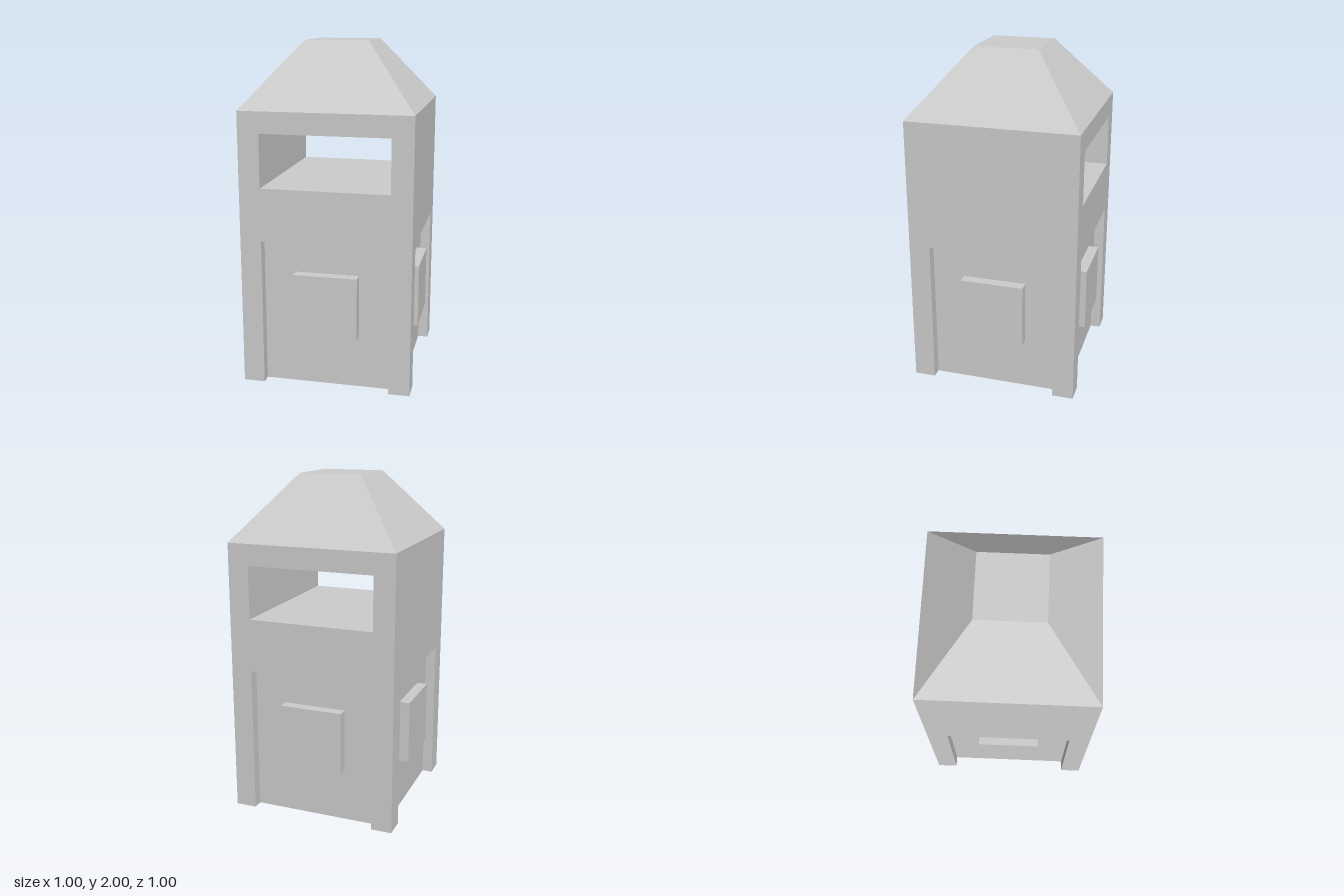
import * as THREE from 'three';

const U = 1 / 16; // modelling grid
const HALF = 8 * U; // half width of the body
const OPEN = 6 * U; // half width of window and recesses
const INNER = 7 * U; // half width of the recessed core
const BASE_H = 14 * U;
const BODY_H = 26 * U;
const ROOF_H = 6 * U;

export function createModel() {
  const group = new THREE.Group();
  const material = new THREE.MeshStandardMaterial({ color: 0xcccccc, flatShading: true });
  const add = (name, geometry) => {
    const mesh = new THREE.Mesh(geometry, material);
    mesh.name = name;
    group.add(mesh);
    return mesh;
  };

  // Base: square plan with a shallow recess in each side, leaving corner posts
  const plan = [];
  for (let i = 0; i < 4; i++) {
    const side = [[-OPEN, HALF], [-OPEN, INNER], [OPEN, INNER], [OPEN, HALF], [HALF, HALF]];
    for (const [x, y] of side) {
      plan.push(new THREE.Vector2(x, y).rotateAround(new THREE.Vector2(), -i * Math.PI / 2));
    }
  }
  const base = new THREE.ExtrudeGeometry(new THREE.Shape(plan), { depth: BASE_H, bevelEnabled: false });
  add('recessedBase', base.rotateX(-Math.PI / 2));

  // Upper body: block with a window running through from front to back
  const wall = new THREE.Shape([
    new THREE.Vector2(-HALF, BASE_H), new THREE.Vector2(HALF, BASE_H),
    new THREE.Vector2(HALF, BODY_H), new THREE.Vector2(-HALF, BODY_H),
  ]);
  wall.holes.push(new THREE.Path([
    new THREE.Vector2(-OPEN, 19 * U), new THREE.Vector2(-OPEN, 24 * U),
    new THREE.Vector2(OPEN, 24 * U), new THREE.Vector2(OPEN, 19 * U),
  ]));
  const body = new THREE.ExtrudeGeometry(wall, { depth: 2 * HALF, bevelEnabled: false });
  add('upperBody', body.translate(0, 0, -HALF));

  // Roof: truncated pyramid
  const roof = new THREE.CylinderGeometry(3 * U * Math.SQRT2, HALF * Math.SQRT2, ROOF_H, 4, 1);
  add('roof', roof.rotateY(Math.PI / 4).translate(0, BODY_H + ROOF_H / 2, 0));

  // Raised square panel in each recess, flush with the posts
  ['front', 'left', 'back', 'right'].forEach((side, i) => {
    const panel = new THREE.BoxGeometry(6 * U, 6 * U, HALF - INNER);
    panel.translate(0, 8 * U, (HALF + INNER) / 2);
    add(side + 'Panel', panel).rotation.y = i * Math.PI / 2;
  });

  return group;
}
